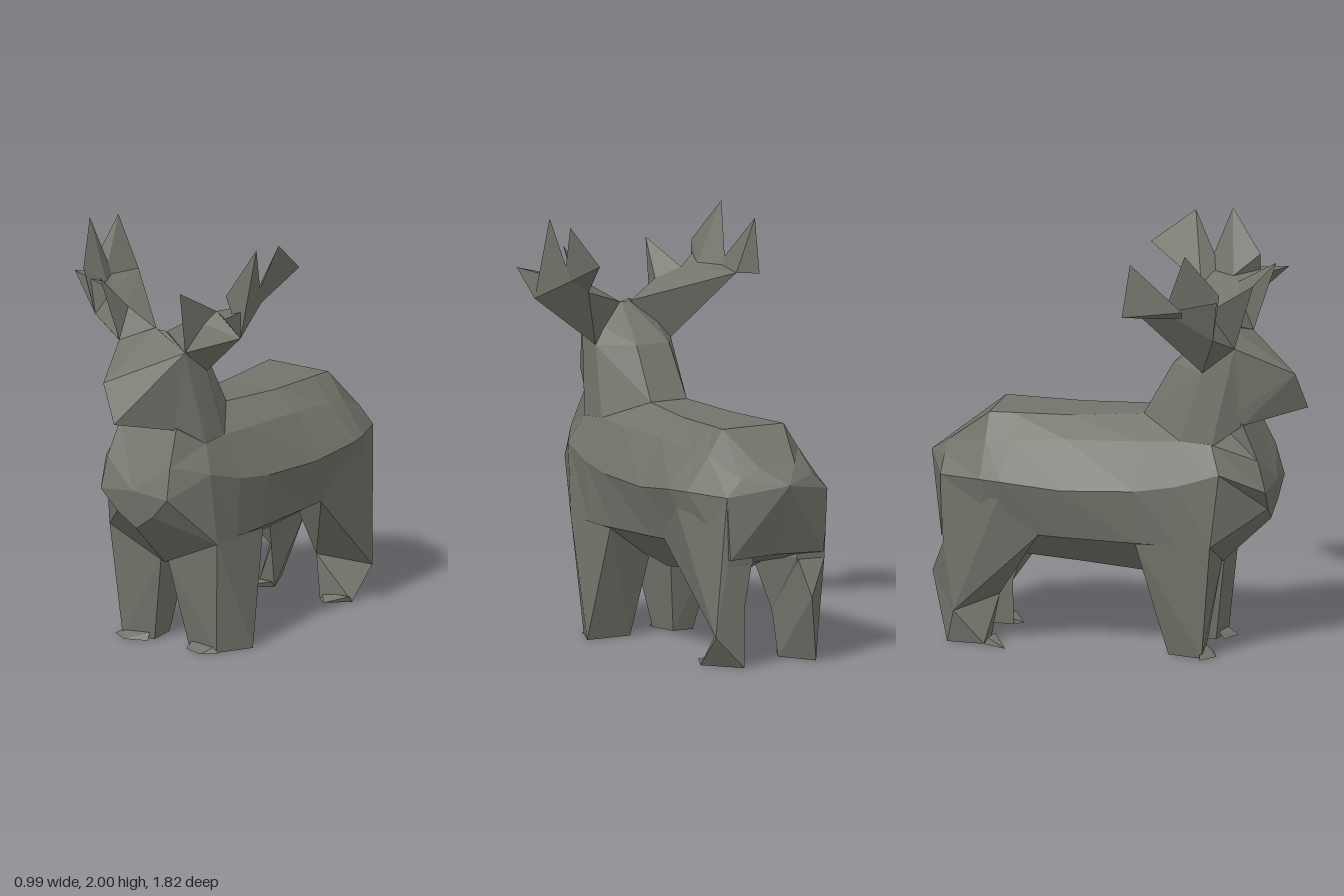
import * as THREE from 'three';
import { ConvexGeometry } from 'three/addons/geometries/ConvexGeometry.js';

const hide = new THREE.MeshStandardMaterial({ color: 0x74736b, flatShading: true });

// Faceted solid around a few corner points; side = -1 mirrors it to the right
function hull(name, points, side = 1) {
  const corners = points.map(([x, y, z]) => new THREE.Vector3(x * side, y, z));
  const mesh = new THREE.Mesh(new ConvexGeometry(corners), hide);
  mesh.name = name;
  return mesh;
}

// Adds the mirror image of every point
const both = (points) => points.flatMap(([x, y, z]) => [[x, y, z], [-x, y, z]]);

// Skin over half rings (top to belly), mirrored and joined from rump to chest
function loft(name, halfRings) {
  const rings = halfRings.map((half) => [
    ...half,
    ...half.slice(0, -1).reverse().map(([x, y, z]) => [-x, y, z]),
  ]);
  const n = rings[0].length;
  const index = [];
  for (let i = 0; i < rings.length - 1; i++) {
    for (let j = 0; j < n; j++) {
      const a = i * n + j, b = i * n + (j + 1) % n;
      index.push(a, a + n, b, b, a + n, b + n);
    }
  }
  const geometry = new THREE.BufferGeometry();
  geometry.setAttribute('position', new THREE.Float32BufferAttribute(rings.flat(2), 3));
  geometry.setIndex(index);
  const flat = geometry.toNonIndexed();
  flat.computeVertexNormals();
  const mesh = new THREE.Mesh(flat, hide);
  mesh.name = name;
  return mesh;
}

function makeTorso() {
  // Ring at one z: back edge, upper flank, widest flank, lower flank, belly
  const ring = (z, ...pts) => pts.map(([x, y]) => [x, y, z]);
  const point = (y, z) => Array(5).fill([0, y, z]);
  return loft('torso', [
    point(0.87, -0.91),
    ring(-0.8, [0.1, 0.95], [0.2, 0.9], [0.28, 0.82], [0.26, 0.52], [0, 0.53]),
    ring(-0.59, [0.17, 1.11], [0.25, 0.99], [0.37, 0.83], [0.31, 0.58], [0, 0.46]),
    ring(-0.48, [0.16, 1.11], [0.26, 1.0], [0.4, 0.83], [0.32, 0.57], [0, 0.39]),
    ring(-0.2, [0.14, 1.11], [0.26, 1.02], [0.38, 0.8], [0.32, 0.56], [0, 0.37]),
    ring(0.15, [0.1, 1.13], [0.25, 1.03], [0.35, 0.81], [0.31, 0.55], [0, 0.34]),
    ring(0.35, [0.1, 1.13], [0.24, 1.04], [0.33, 0.84], [0.31, 0.55], [0, 0.38]),
    [[0.12, 1.12, 0.5], [0.24, 1.03, 0.5], [0.3, 0.9, 0.55], [0.31, 0.55, 0.51], [0, 0.41, 0.5]],
    [[0.16, 1.12, 0.63], [0.18, 0.95, 0.71], [0.19, 0.8, 0.75], [0.1, 0.7, 0.74], [0, 0.63, 0.73]],
    point(0.82, 0.76),
  ]);
}

function makeHead() {
  const group = new THREE.Group();
  group.name = 'head';
  group.add(
    hull('neck', both([
      [0.09, 1.38, 0.28], [0.1, 1.13, 0.14], [0.24, 1.04, 0.35], [0.24, 1.02, 0.5],
      [0.21, 1.37, 0.45], [0.19, 1.49, 0.6], [0.15, 1.11, 0.63], [0.02, 1.55, 0.52],
    ])),
    hull('muzzle', [
      ...both([[0.15, 1.11, 0.63], [0.19, 1.49, 0.6], [0.21, 1.37, 0.45], [0.2, 1.1, 0.5]]),
      [-0.03, 1.56, 0.53], [0, 1.18, 0.91], [-0.09, 1.36, 0.87],
    ]),
  );
  return group;
}

// Antler: a thick beam, a rear blade, an upper blade and two forward tines
function makeAntler(name, side, { low, heel, rearTips, outerTip }) {
  const brow = [0.19, 1.49, 0.6], root = [0.18, 1.64, 0.54];
  const shoulder = [0.3, 1.69, 0.5], top = [0.43, 1.71, 0.32];
  const group = new THREE.Group();
  group.name = name;
  group.add(
    hull('beam', [
      brow, root, [0.21, 1.37, 0.45], [0.03, 1.55, 0.52], [0.15, 1.52, 0.45],
      low, shoulder, heel, top,
    ], side),
    hull('rearBlade', [top, heel, [0.42, 1.68, 0.4], ...rearTips], side),
    hull('upperBlade', [low, top, [0.36, 1.7, 0.46], [0.48, 2.0, 0.43], [0.41, 1.8, 0.58]], side),
    hull('outerTine', [low, top, shoulder, outerTip], side),
    hull('browTine', [brow, root, shoulder, [0.23, 1.81, 0.7]], side),
  );
  return group;
}

function makeFrontLeg(name, side, { outerHeel, toe }) {
  const group = new THREE.Group();
  group.name = name;
  group.add(
    hull('leg', [
      [0.31, 0.56, 0.51], [0.32, 0.55, 0.15], [0.02, 0.42, 0.5], [0.06, 0.38, 0.22],
      [0.27, 0, 0.46], outerHeel, [0.1, 0, 0.44], [0.12, 0, 0.29],
    ], side),
    hull('hoof', [[0.26, 0.03, 0.45], [0.12, 0.03, 0.45], toe, [0.22, 0, 0.52], [0.11, 0, 0.48]], side),
  );
  return group;
}

// Hind leg: broad thigh tapering to the knee, bent hock and a slim shank on a small foot
function makeHindLeg(name, side, { knee, hock, foot, toe }) {
  const inner = [0.13, 0.22, -0.55];
  const group = new THREE.Group();
  group.name = name;
  group.add(
    hull('thigh', [
      [0.38, 0.82, -0.47], [0.28, 0.82, -0.8], [0.32, 0.56, -0.32], [0.27, 0.49, -0.79],
      [0.08, 0.48, -0.45], [0.12, 0.5, -0.78], inner, knee,
    ], side),
    hull('hock', [[0.27, 0.49, -0.79], [0.13, 0.49, -0.78], hock, inner, knee], side),
    hull('shank', [hock, inner, knee, ...foot], side),
    hull('hoof', [[foot[0][0], 0.03, -0.58], [foot[2][0], 0.03, -0.57], foot[0], foot[2], toe], side),
  );
  return group;
}

export function createModel() {
  const model = new THREE.Group();
  model.name = 'antleredAnimal';
  model.add(
    makeTorso(),
    makeHead(),
    makeAntler('leftAntler', 1, {
      low: [0.48, 1.6, 0.56],
      heel: [0.34, 1.65, 0.31],
      rearTips: [[0.45, 1.82, 0.04], [0.48, 1.98, 0.25]],
      outerTip: [0.49, 1.73, 0.7],
    }),
    makeAntler('rightAntler', -1, {
      low: [0.37, 1.57, 0.54],
      heel: [0.39, 1.7, 0.16],
      rearTips: [[0.5, 1.69, 0.13], [0.5, 1.95, 0.17], [0.49, 1.73, 0.42]],
      outerTip: [0.46, 1.78, 0.58],
    }),
    makeFrontLeg('leftFrontLeg', 1, { outerHeel: [0.36, 0, 0.29], toe: [0.28, 0, 0.46] }),
    makeFrontLeg('rightFrontLeg', -1, { outerHeel: [0.23, 0, 0.29], toe: [0.31, 0, 0.46] }),
    makeHindLeg('leftHindLeg', 1, {
      knee: [0.31, 0.15, -0.75],
      hock: [0.18, 0.3, -0.8],
      foot: [[0.3, 0, -0.6], [0.17, 0, -0.78], [0.15, 0, -0.55]],
      toe: [0.2, 0, -0.51],
    }),
    makeHindLeg('rightHindLeg', -1, {
      knee: [0.27, 0.16, -0.74],
      hock: [0.15, 0.32, -0.87],
      foot: [[0.24, 0, -0.6], [0.23, 0, -0.78], [0.14, 0, -0.59]],
      toe: [0.31, 0, -0.48],
    }),
  );
  return model;
}
